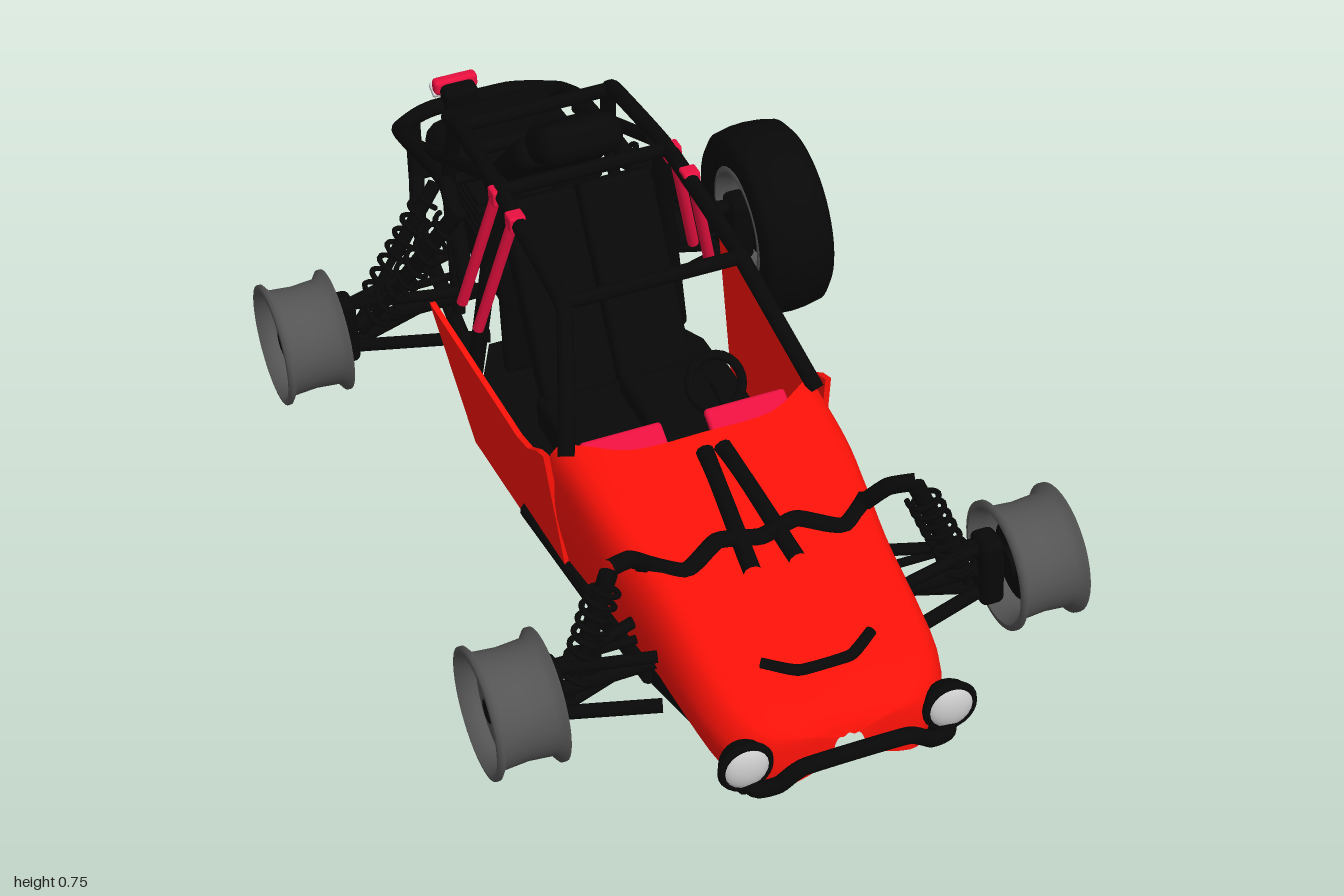
import * as THREE from 'three';
import { RoundedBoxGeometry } from 'three/addons/geometries/RoundedBoxGeometry.js';

const V = (x, y, z) => new THREE.Vector3(x, y, z);
const mat = (color, side = THREE.FrontSide) => new THREE.MeshStandardMaterial({ color, side });

export function createModel() {
  const red = mat(0xff1208, THREE.DoubleSide), black = mat(0x080808), pink = mat(0xe8103f);
  const rimGrey = mat(0x555555, THREE.DoubleSide), glass = mat(0xcccccc);
  const model = new THREE.Group();
  const car = new THREE.Group();
  car.name = 'buggy';
  // the car stands turned and leans a little to its right
  car.rotation.set(0, THREE.MathUtils.degToRad(30.8), 0.045, 'YXZ');
  model.add(car);

  const add = (name, geo, material, parent = car) => {
    const m = new THREE.Mesh(geo, material);
    m.name = name;
    parent.add(m);
    return m;
  };
  const bar = (name, a, b, r, material = black) => {
    const dir = b.clone().sub(a);
    const m = add(name, new THREE.CylinderGeometry(r, r, dir.length(), 12), material);
    m.position.copy(a).add(b).multiplyScalar(0.5);
    m.quaternion.setFromUnitVectors(V(0, 1, 0), dir.normalize());
    return m;
  };
  const pipe = (name, pts, r) =>
    add(name, new THREE.TubeGeometry(
      new THREE.CatmullRomCurve3(pts, false, 'catmullrom', 0.25), pts.length * 10, r, 10), black);
  const box = (name, w, h, d, x, y, z, rx = 0, material = black, r = 0.015) => {
    const m = add(name, new RoundedBoxGeometry(w, h, d, 3, r), material);
    m.position.set(x, y, z);
    m.rotation.x = rx;
    return m;
  };
  const both = (fn) => [1, -1].forEach(fn);

  // hood and nose: [z, bottom half width, bottom y, waist half width, waist y, shoulder half width, shoulder y, crown y, crown sweep]
  const stations = [
    [1.01, 0.02, 0.185, 0.03, 0.21, 0.02, 0.235, 0.24, 0],
    [0.995, 0.14, 0.14, 0.16, 0.21, 0.14, 0.265, 0.275, 0],
    [0.92, 0.19, 0.125, 0.225, 0.23, 0.19, 0.30, 0.315, 0],
    [0.62, 0.22, 0.13, 0.255, 0.27, 0.22, 0.37, 0.385, 0],
    [0.42, 0.24, 0.13, 0.275, 0.29, 0.25, 0.405, 0.425, 0.02],
    [0.20, 0.265, 0.13, 0.285, 0.30, 0.265, 0.415, 0.44, 0.12],
  ];
  const rails = [(s) => V(s[1], s[2], s[0]), (s) => V(s[3], s[4], s[0]),
    (s) => V(s[5], s[6], s[0] + s[8] * 0.15), (s) => V(s[5] * 0.55, s[7] - 0.006, s[0] + s[8] * 0.9),
    (s) => V(0, s[7], s[0] + s[8])].map((f) => new THREE.CatmullRomCurve3(stations.map(f)));
  const NV = 30, NU = 32, pos = [], idx = [];
  for (let i = 0; i <= NV; i++) {
    const half = rails.map((c) => c.getPoint(i / NV));
    const mirror = half.slice(0, 4).reverse().map((p) => V(-p.x, p.y, p.z));
    const section = new THREE.CatmullRomCurve3([...half, ...mirror]);
    for (let j = 0; j <= NU; j++) pos.push(...section.getPoint(j / NU).toArray());
  }
  for (let i = 0; i < NV; i++) for (let j = 0; j < NU; j++) {
    const a = i * (NU + 1) + j, b = a + 1, c = a + NU + 1, d = c + 1;
    idx.push(a, c, b, b, c, d);
  }
  const hood = new THREE.BufferGeometry();
  hood.setAttribute('position', new THREE.Float32BufferAttribute(pos, 3));
  hood.setIndex(idx);
  hood.computeVertexNormals();
  add('hood', hood, red);

  // side panels, tucked in below
  const outline = new THREE.Shape([[0.24, 0.42], [0.2, 0.405], [0.14, 0.367], [0.08, 0.355], [-0.38, 0.38],
    [-0.25, 0.1], [0, 0.1], [0.06, 0.13], [0.24, 0.135]].map((p) => new THREE.Vector2(...p)));
  both((s) => {
    const g = new THREE.ExtrudeGeometry(outline, { depth: 0.012, bevelEnabled: false });
    const p = g.attributes.position;
    for (let i = 0; i < p.count; i++) {
      const z = p.getX(i), y = p.getY(i);
      p.setXYZ(i, s * (0.291 - 0.045 * z - 0.1 * (0.34 - y) + p.getZ(i)), y, z);
    }
    g.computeVertexNormals();
    add('sidePanel', g, red);
  });

  // floor pan and belly plate
  const plan = new THREE.Shape([[0.18, 0.84], [0.23, 0.6], [0.26, 0.1], [0.25, -0.33], [0.17, -0.5],
    [-0.17, -0.5], [-0.25, -0.33], [-0.26, 0.1], [-0.23, 0.6], [-0.18, 0.84]].map((p) => new THREE.Vector2(...p)));
  const floor = add('floor', new THREE.ExtrudeGeometry(plan, { depth: 0.04, bevelEnabled: false }), black);
  floor.rotation.x = Math.PI / 2;
  floor.position.y = 0.145;
  box('bellyPlate', 0.53, 0.05, 0.26, 0, 0.122, -0.12, 0, black, 0.01);

  // hood trim and shock tower strap
  const hoodY = (x, z) => 0.385 + (0.62 - z) * (z > 0.62 ? 0.235 : 0.2) - 0.4 * x * x;
  const onHood = (x, z) => V(x, hoodY(x, z), z);
  pipe('noseSlit', [onHood(-0.11, 0.86), onHood(-0.05, 0.9), onHood(0.05, 0.9), onHood(0.11, 0.86)], 0.012);
  pipe('hoodStrap', [onHood(-0.23, 0.56), onHood(-0.16, 0.62), onHood(-0.08, 0.58), onHood(0, 0.6),
    onHood(0.08, 0.58), onHood(0.16, 0.62), onHood(0.23, 0.56)], 0.018);
  both((s) => {
    pipe('hoodFork', [onHood(s * 0.018, 0.37), onHood(s * 0.03, 0.5), onHood(s * 0.045, 0.67)], 0.018);
    pipe('shockTower', [V(s * 0.21, 0.37, 0.57), V(s * 0.26, 0.425, 0.6), V(s * 0.31, 0.435, 0.62)], 0.017);
  });

  // bumper and headlights
  pipe('bumper', [V(-0.22, 0.2, 0.97), V(-0.19, 0.18, 1.02), V(-0.15, 0.19, 1.035), V(-0.1, 0.22, 1.04), V(0.1, 0.22, 1.04),
    V(0.15, 0.19, 1.035), V(0.19, 0.18, 1.02), V(0.22, 0.2, 0.97)], 0.016);
  both((s) => {
    pipe('bumperStay', [V(s * 0.21, 0.21, 0.97), V(s * 0.2, 0.16, 0.985), V(s * 0.17, 0.13, 0.9)], 0.014);
    const lamp = new THREE.Group();
    lamp.name = 'headlight';
    lamp.position.set(s * 0.202, 0.228, 1.005);
    lamp.rotation.x = Math.PI / 2;
    add('lampShell', new THREE.SphereGeometry(0.05, 20, 10, 0, Math.PI * 2, Math.PI / 2, Math.PI / 2), black, lamp);
    add('lampRing', new THREE.TorusGeometry(0.046, 0.009, 8, 24), black, lamp).rotation.x = Math.PI / 2;
    add('lens', new THREE.SphereGeometry(0.046, 20, 8, 0, Math.PI * 2, 0, Math.PI / 2), glass, lamp).scale.y = 0.45;
    car.add(lamp);
  });

  // roll cage
  both((s) => {
    pipe('roofRail', [V(s * 0.26, 0.42, 0.26), V(s * 0.19, 0.62, 0.095), V(s * 0.185, 0.64, 0.05), V(s * 0.18, 0.665, -0.3),
      V(s * 0.17, 0.645, -0.58), V(s * 0.17, 0.615, -0.62), V(s * 0.18, 0.46, -0.67)], 0.017);
    pipe('tailHoop', [V(s * 0.22, 0.14, -0.46), V(s * 0.19, 0.19, -0.88), V(s * 0.15, 0.24, -1.02), V(s * 0.14, 0.38, -1.045)], 0.017);
    bar('mainHoop', V(s * 0.17, 0.665, -0.33), V(s * 0.23, 0.14, -0.42), 0.017);
    bar('rearBrace', V(s * 0.17, 0.655, -0.36), V(s * 0.18, 0.43, -0.86), 0.014);
    bar('lowerBrace', V(s * 0.18, 0.45, -0.67), V(s * 0.2, 0.17, -0.6), 0.014);
    bar('sill', V(s * 0.23, 0.13, 0.6), V(s * 0.27, 0.125, 0.03), 0.022);
    [-0.195, -0.295].forEach((z) => {
      bar('cageStrut', V(s * 0.19, 0.66, z), V(s * 0.255, 0.36, z - 0.085), 0.012, pink);
      box('strutClamp', 0.035, 0.035, 0.035, s * 0.185, 0.66, z, 0, pink, 0.005);
    });
  });
  const tail = [[0.24, 0.38, -0.38], [0.19, 0.47, -0.64], [0.195, 0.43, -0.9], [0.185, 0.4, -0.99], [0.13, 0.385, -1.045], [0.08, 0.385, -1.06]];
  pipe('tailLoop', [...tail.map((p) => V(...p)), ...tail.toReversed().map(([x, y, z]) => V(-x, y, z))], 0.018);
  [[0.19, 0.635, 0.07], [0.18, 0.665, -0.3], [0.17, 0.635, -0.6], [0.18, 0.46, -0.67], [0.15, 0.25, -1.025]]
    .forEach(([x, y, z]) => bar('crossBar', V(-x, y, z), V(x, y, z), 0.015));

  // cockpit
  both((s) => {
    box('seatBase', 0.17, 0.08, 0.26, s * 0.09, 0.19, -0.06);
    box('seatBack', 0.16, 0.42, 0.06, s * 0.082, 0.395, -0.28, -0.5);
    box('dashPanel', 0.17, 0.12, 0.02, s * 0.13, 0.36, 0.25, -1.0, pink, 0.008);
  });
  box('dash', 0.46, 0.08, 0.04, 0, 0.36, 0.33);
  box('firewall', 0.34, 0.28, 0.03, 0, 0.28, -0.4);
  const steering = add('steeringWheel', new THREE.TorusGeometry(0.055, 0.01, 8, 24), black);
  steering.position.set(0.1, 0.395, 0.13);
  steering.rotation.x = -0.6;
  bar('steeringColumn', V(0.1, 0.395, 0.13), V(0.1, 0.34, 0.32), 0.012);

  // air scoop, engine and tail
  box('airScoop', 0.18, 0.085, 0.15, 0.005, 0.697, -0.37, -0.5, black, 0.035);
  box('engineCover', 0.22, 0.07, 0.36, 0, 0.55, -0.53, -0.75, black, 0.03);
  box('engineBlock', 0.24, 0.2, 0.3, 0, 0.29, -0.66);
  box('gearbox', 0.16, 0.14, 0.2, 0, 0.24, -0.86);
  both((s) => {
    for (let i = 0; i < 5; i++) box('coolingFin', 0.1, 0.015, 0.24, s * 0.09, 0.33 + i * 0.025, -0.72, 0, black, 0.005);
    bar('muffler', V(s * 0.08, 0.34, -0.82), V(s * 0.08, 0.34, -1.01), 0.045);
  });
  box('radiator', 0.24, 0.03, 0.2, 0, 0.48, -0.8, -0.1);
  box('tailMount', 0.08, 0.06, 0.05, -0.025, 0.4, -1.055);
  box('tailLight', 0.1, 0.035, 0.03, -0.025, 0.42, -1.085, 0, pink, 0.01);
  box('tailPlate', 0.1, 0.012, 0.035, -0.025, 0.4, -1.105, 0.5, glass, 0.004);

  // coil-over shock
  const shock = (a, b, r) => {
    bar('shockBody', a, a.clone().lerp(b, 0.55), r * 0.6);
    bar('shockRod', a, b, r * 0.35);
    const len = a.distanceTo(b), pts = [];
    for (let i = 0; i <= 96; i++) {
      const t = i / 12 * Math.PI * 2;
      pts.push(V(r * Math.cos(t), len * (0.1 + 0.8 * i / 96), r * Math.sin(t)));
    }
    const spring = add('spring', new THREE.TubeGeometry(new THREE.CatmullRomCurve3(pts), 144, 0.006, 6), black);
    spring.position.copy(a);
    spring.quaternion.setFromUnitVectors(V(0, 1, 0), b.clone().sub(a).normalize());
  };

  // suspension: [axle z, inner mount x, arm spread, shock top y, z, x]
  [[0.64, 0.25, 0.07, 0.425, 0.62, 0.31], [-0.62, 0.16, 0.1, 0.5, -0.5, 0.21]].forEach(([z, inner, spread, topY, topZ, topX]) => both((s) => {
    [-spread, spread].forEach((dz) => {
      bar('lowerArm', V(s * inner, 0.15, z + dz), V(s * 0.45, 0.145, z), 0.014);
      bar('upperArm', V(s * inner, 0.26, z + dz * 0.8), V(s * 0.44, 0.25, z), 0.012);
    });
    bar('driveShaft', V(s * inner * 0.9, 0.2, z), V(s * 0.46, 0.195, z), 0.016);
    bar('tieRod', V(s * inner, 0.21, z - 0.06), V(s * 0.45, 0.2, z - 0.07), 0.009);
    box('upright', 0.05, 0.15, 0.07, s * 0.45, 0.195, z);
    shock(V(s * topX, topY, topZ), V(s * 0.41, 0.17, z), 0.03);
    if (z < 0) shock(V(s * 0.2, 0.44, -0.7), V(s * 0.4, 0.17, z - 0.05), 0.026);
  }));

  // wheels: rim barrel, pierced disc, hub; one wheel carries a tyre
  const P = (a) => a.map((p) => new THREE.Vector2(...p));
  const barrel = new THREE.LatheGeometry(P([[0.118, -0.072], [0.13, -0.07], [0.13, -0.062], [0.114, -0.05],
    [0.11, 0], [0.114, 0.05], [0.13, 0.062], [0.13, 0.07], [0.118, 0.072], [0.106, 0.045], [0.103, 0], [0.106, -0.045],
    [0.118, -0.072]]), 40);
  const disc = new THREE.Shape().absarc(0, 0, 0.108, 0, Math.PI * 2);
  for (let i = 0; i < 8; i++) {
    const a = i * Math.PI / 4;
    disc.holes.push(new THREE.Path().absarc(0.072 * Math.cos(a), 0.072 * Math.sin(a), 0.019, 0, Math.PI * 2, true));
  }
  const discGeo = new THREE.ExtrudeGeometry(disc, { depth: 0.014, bevelEnabled: false, curveSegments: 20 });
  const tyreGeo = new THREE.LatheGeometry(P([[0.12, -0.065], [0.15, -0.078], [0.185, -0.08], [0.203, -0.065],
    [0.21, -0.03], [0.212, 0], [0.21, 0.03], [0.203, 0.065], [0.185, 0.08], [0.15, 0.078], [0.12, 0.065]]), 48);
  [['frontLeft', 0.533, 0.648, 1], ['frontRight', -0.522, 0.642, -1], ['rearLeft', 0.517, -0.62, 1], ['rearRight', -0.538, -0.618, -1]]
    .forEach(([name, x, z, s]) => {
      const w = new THREE.Group();
      w.name = name + 'Wheel';
      w.position.set(x, 0.197, z);
      w.rotation.y = s * Math.PI / 2;
      add('rim', barrel, rimGrey, w).rotation.x = Math.PI / 2;
      add('rimDisc', discGeo, rimGrey, w).position.z = 0.02;
      const hub = add('hub', new THREE.CylinderGeometry(0.024, 0.034, 0.1, 16), black, w);
      hub.rotation.x = Math.PI / 2;
      const brake = add('brakeDisc', new THREE.CylinderGeometry(0.08, 0.08, 0.012, 28), black, w);
      brake.rotation.x = Math.PI / 2;
      brake.position.z = -0.025;
      if (name === 'rearLeft') add('tyre', tyreGeo, black, w).rotation.x = Math.PI / 2;
      car.add(w);
    });
  return model;
}
